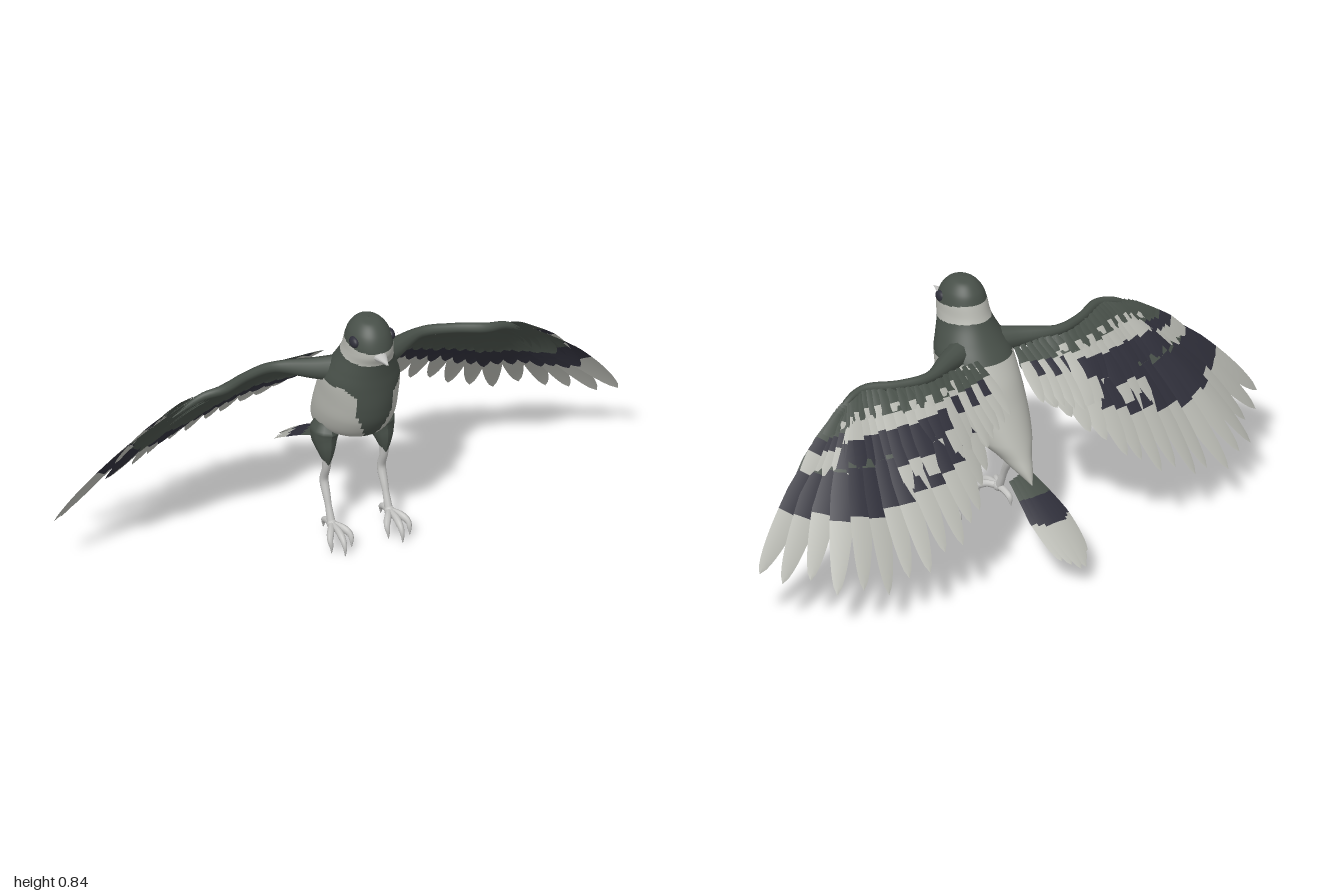
import * as THREE from 'three';

const V = (x, y, z) => new THREE.Vector3(x, y, z);
const curveOf = pts => new THREE.CatmullRomCurve3(pts.map(p => V(...p)));
const paint = (name, color, side = THREE.FrontSide) => {
  const m = new THREE.MeshStandardMaterial({ color, side });
  m.name = name;
  return m;
};

export function createModel() {
  const bird = new THREE.Group();
  bird.name = 'bird';
  const D = THREE.DoubleSide;
  const slate = paint('slate green', 0x485049, D);
  const pale = paint('pale grey', 0xb6b7b0, D);
  const navy = paint('dark navy', 0x2f2f3a, D);
  const horn = paint('light horn', 0xc2c2c0);
  const plumage = [slate, pale, navy];
  const SLATE = 0, PALE = 1, NAVY = 2;

  const add = (parent, geo, mat, name) => {
    const m = new THREE.Mesh(geo, mat);
    m.name = name;
    parent.add(m);
    return m;
  };

  // Tube along a path whose radius follows a list of values
  function limb(parent, pts, radii, mat, name, flat = 1) {
    const n = pts.length * 5, sides = 10, curve = curveOf(pts);
    const geo = new THREE.TubeGeometry(curve, n, 1, sides);
    const pos = geo.attributes.position, v = V();
    for (let i = 0; i <= n; i++) {
      const c = curve.getPointAt(i / n);
      const f = i / n * (radii.length - 1), k = Math.min(Math.floor(f), radii.length - 2);
      const r = THREE.MathUtils.lerp(radii[k], radii[k + 1], f - k);
      for (let j = 0; j <= sides; j++) {
        const q = i * (sides + 1) + j;
        v.fromBufferAttribute(pos, q).sub(c).multiplyScalar(r);
        v.x *= flat;
        v.add(c);
        pos.setXYZ(q, v.x, v.y, v.z);
      }
    }
    geo.computeVertexNormals();
    return add(parent, geo, mat, name);
  }

  // Body: rings between a front line (half width, y, z) and a back line
  const front = curveOf([[0.001, 0.835, 0.251], [0.036, 0.825, 0.292], [0.062, 0.795, 0.322], [0.074, 0.76, 0.336],
    [0.078, 0.73, 0.34], [0.085, 0.70, 0.33], [0.105, 0.65, 0.322], [0.122, 0.60, 0.318], [0.125, 0.52, 0.311],
    [0.125, 0.46, 0.295], [0.115, 0.40, 0.25], [0.092, 0.365, 0.17], [0.054, 0.32, 0.06], [0.028, 0.28, -0.03], [0.002, 0.24, -0.12]]);
  const back = curveOf([[0, 0.835, 0.249], [0, 0.828, 0.205], [0, 0.80, 0.175], [0, 0.765, 0.16],
    [0, 0.725, 0.145], [0, 0.695, 0.13], [0, 0.65, 0.10], [0, 0.61, 0.07], [0, 0.54, 0.02],
    [0, 0.47, -0.015], [0, 0.41, -0.045], [0, 0.36, -0.07], [0, 0.32, -0.09], [0, 0.28, -0.11], [0, 0.245, -0.122]]);
  const bodyColour = (x, y, z) => {
    if (y > 0.745 + (0.33 - z) * 0.15) return SLATE;
    if (y > 0.695 + (0.33 - z) * 0.1) return PALE;
    if (y > 0.6) return SLATE;
    const bib = Math.min(0.062, (y - 0.36) * 0.42) + Math.max(0, y - 0.57);
    return z > 0.18 && Math.abs(x) < bib ? SLATE : PALE;
  };
  const rows = 160, cols = 72, pos = [], faces = [[], [], []];
  for (let j = 0; j <= rows; j++) {
    const f = front.getPoint(j / rows), b = back.getPoint(j / rows);
    for (let i = 0; i < cols; i++) {
      const a = i / cols * Math.PI * 2, c = (1 + Math.cos(a)) / 2;
      pos.push(f.x * Math.sin(a), b.y + (f.y - b.y) * c, b.z + (f.z - b.z) * c);
    }
  }
  for (let j = 0; j < rows; j++) for (let i = 0; i < cols; i++) {
    const a = j * cols + i, b = j * cols + (i + 1) % cols, c = a + cols, d = b + cols;
    const mid = k => (pos[a * 3 + k] + pos[d * 3 + k]) / 2;
    faces[bodyColour(mid(0), mid(1), mid(2))].push(a, c, b, c, d, b);
  }
  const bodyGeo = new THREE.BufferGeometry();
  bodyGeo.setAttribute('position', new THREE.Float32BufferAttribute(pos, 3));
  bodyGeo.setIndex(faces.flat());
  let start = 0;
  faces.forEach((f, k) => { bodyGeo.addGroup(start, f.length, k); start += f.length; });
  bodyGeo.computeVertexNormals();
  add(bird, bodyGeo, plumage, 'body');

  // Beak: two slim cones lying against each other
  [['upperBeak', 0.03, 0.085, 0.733], ['lowerBeak', 0.026, 0.072, 0.727]].forEach(([name, r, h, y]) => {
    const geo = new THREE.ConeGeometry(r, h, 12).rotateX(Math.PI / 2).scale(1, 0.62, 1);
    add(bird, geo, horn, name).position.set(0, y, 0.315 + h / 2);
  });

  // Feather: cambered blade; bands = [[end fraction, colour], ...]
  function feather(parent, root, tip, span, half, bands, name, sx = 1, lift = 0, twist = 0.14) {
    const d = tip.clone().sub(root), len = d.length();
    d.normalize();
    const s = span.clone().addScaledVector(d, -span.dot(d)).normalize();
    const n = s.clone().cross(d).normalize();
    const side = s.clone().addScaledVector(n, twist).normalize();
    const steps = 24, p = [], idx = [], geo = new THREE.BufferGeometry();
    for (let i = 0; i <= steps; i++) {
      const t = i / steps;
      const w = half * Math.min(1, 0.4 + 1.2 * t) * Math.pow(1 - t ** 4.5, 0.65);
      const c = root.clone().addScaledVector(d, len * t)
        .addScaledVector(n, lift + 0.12 * len * t * (1 - t));
      for (const e of [-1, 0, 1]) {
        const q = c.clone().addScaledVector(side, e * w).addScaledVector(n, e ? 0 : w * 0.15);
        p.push(q.x * sx, q.y, q.z);
      }
    }
    for (let i = 0; i < steps; i++) {
      for (const k of [0, 1]) {
        const a = i * 3 + k;
        idx.push(a, a + 3, a + 1, a + 3, a + 4, a + 1);
      }
      geo.addGroup(i * 12, 12, bands.find(b => (i + 0.5) / steps < b[0])[1]);
    }
    geo.setAttribute('position', new THREE.Float32BufferAttribute(p, 3));
    geo.setIndex(idx);
    geo.computeVertexNormals();
    add(parent, geo, plumage, name);
  }

  // Wing: feathers fan from the arm bones out to the tip line
  const roots = curveOf([[0.11, 0.60, 0.08], [0.18, 0.615, 0.085], [0.26, 0.615, 0.07], [0.34, 0.615, 0.09], [0.42, 0.62, 0.125],
    [0.47, 0.62, 0.145], [0.51, 0.61, 0.145], [0.55, 0.60, 0.135], [0.58, 0.585, 0.125]]);
  const tips = curveOf([[0.13, 0.46, -0.08], [0.20, 0.385, -0.15], [0.28, 0.31, -0.225], [0.37, 0.24, -0.275], [0.49, 0.19, -0.285],
    [0.62, 0.14, -0.27], [0.77, 0.14, -0.23], [0.88, 0.16, -0.10], [1, 0.18, 0]]);
  const midAt = u => roots.getPoint(u).add(tips.getPoint(u));

  function wing(sx, name) {
    const g = new THREE.Group();
    g.name = name;
    const layer = (count, reachAt, half, lift, part, bandsAt) => {
      for (let i = 0; i < count; i++) {
        const u = i / (count - 1);
        const span = midAt(Math.min(1, u + 0.03)).sub(midAt(Math.max(0, u - 0.03)));
        const root = roots.getPoint(u);
        const tip = root.clone().lerp(tips.getPoint(u), reachAt(u) * (1 - 0.04 * (i % 2)));
        feather(g, root, tip, span, half * (0.95 + 0.25 * u), bandsAt(u, i), part, sx, lift);
      }
    };
    layer(16, () => 1, 0.036, 0, 'flightFeather', () => [[0.38, SLATE], [0.62, NAVY], [1, PALE]]);
    // Greater coverts: a dark band crosses mid-wing, pale ends hide the inner flight feathers
    const long = u => u < 0.27 || (u > 0.38 && u < 0.55);
    layer(21, u => long(u) ? 0.7 : 0.5, 0.033, 0.01, 'greaterCovert', (u, i) => {
      if (u < 0.27) return [[0.25, SLATE], [0.34, PALE], [0.58, i % 2 ? NAVY : PALE], [1, PALE]];
      if (u > 0.82) return [[0.35, SLATE], [0.5, NAVY], [1, PALE]];
      return long(u) ? [[0.2, SLATE], [0.32, PALE], [0.62, NAVY], [1, PALE]]
        : [[0.26, SLATE], [0.44, PALE], [0.78, NAVY], [1, PALE]];
    });
    layer(25, () => 0.22, 0.017, 0.015, 'lesserCovert', (u, i) => [[i % 2 ? 0.4 : 0.7, SLATE], [1, PALE]]);
    // Underwing linings
    layer(20, () => 0.62, 0.035, -0.007, 'longUnderCovert', () => [[0.64, SLATE], [1, NAVY]]);
    layer(21, () => 0.36, 0.03, -0.013, 'underCovert', () => [[1, SLATE]]);
    // Shoulder feathers lying over the back
    for (let i = 0; i < 5; i++) {
      feather(g, V(0.08 + 0.024 * i, 0.625, 0.075), V(0.065 + 0.032 * i, 0.5 - 0.012 * i, -0.09 - 0.012 * i),
        V(1, 0, 0), 0.022, [[0.3, SLATE], [i % 2 ? 0.55 : 0.3, NAVY], [1, PALE]], 'shoulderFeather', sx, 0.008);
    }
    limb(g, [[0.06, 0.62, 0.17], [0.13, 0.62, 0.14], [0.26, 0.625, 0.085], [0.36, 0.625, 0.105], [0.46, 0.625, 0.148],
      [0.53, 0.612, 0.14], [0.62, 0.545, 0.115]].map(([x, y, z]) => [x * sx, y, z]),
      [0.045, 0.032, 0.018, 0.016, 0.017, 0.012, 0.002], slate, 'wingArm');
    bird.add(g);
  }

  // Leg: feathered thigh, shank bent at the hock, toes and claws
  function leg(sx, name) {
    const g = new THREE.Group();
    g.name = name;
    const at = pts => pts.map(([x, y, z]) => [x * sx, y, z]);
    limb(g, at([[0.092, 0.41, 0.125], [0.098, 0.365, 0.128], [0.10, 0.32, 0.145], [0.10, 0.265, 0.157]]),
      [0.04, 0.06, 0.054, 0.041, 0.026, 0.008], slate, 'thigh', 0.75);
    limb(g, at([[0.10, 0.30, 0.155], [0.10, 0.25, 0.147], [0.10, 0.20, 0.13], [0.10, 0.14, 0.155], [0.10, 0.065, 0.187]]),
      [0.016, 0.013, 0.015, 0.011, 0.014], horn, 'shank');
    add(g, new THREE.SphereGeometry(0.017, 12, 8), horn, 'ankle').position.set(0.10 * sx, 0.066, 0.19);
    // Three front toes spread out, one points back
    [[-0.036, 0.26, 0.01], [0, 0.29, 0], [0.036, 0.265, 0.008]].forEach(([dx, z, y]) => {
      const k = z - 0.19, x = 0.10 + dx;
      limb(g, at([[0.10, 0.066, 0.19], [0.10 + dx * 0.6, 0.066, 0.19 + k * 0.5], [x, 0.05, 0.19 + k * 0.85],
        [x, 0.03, 0.19 + k * 0.98], [x, y, z]]), [0.012, 0.011, 0.012, 0.008, 0.001], horn, 'frontToe');
    });
    limb(g, at([[0.10, 0.066, 0.19], [0.10, 0.062, 0.155], [0.10, 0.05, 0.13], [0.10, 0.022, 0.124]]),
      [0.012, 0.011, 0.01, 0.001], horn, 'backToe');
    bird.add(g);
  }

  for (const [sx, label] of [[1, 'left'], [-1, 'right']]) {
    wing(sx, label + 'Wing');
    leg(sx, label + 'Leg');
    const eye = add(bird, new THREE.SphereGeometry(0.024, 16, 12), navy, label + 'Eye');
    eye.scale.set(0.6, 0.8, 1);
    eye.position.set(0.062 * sx, 0.77, 0.275);
  }

  // Tail: rounded fan behind the rump
  const tail = new THREE.Group();
  tail.name = 'tail';
  for (let i = 0; i < 6; i++) {
    const k = i - 2.5, a = Math.abs(k);
    feather(tail, V(k * 0.014, 0.265 - a * 0.003, -0.07), V(k * 0.02, 0.06 + a * 0.014, -0.405 + a * 0.022),
      V(1, 0, 0), 0.033, [[0.25, SLATE], [0.55, NAVY], [1, PALE]], 'tailFeather', 1, -a * 0.005, k * -0.08);
  }
  bird.add(tail);
  return bird;
}
